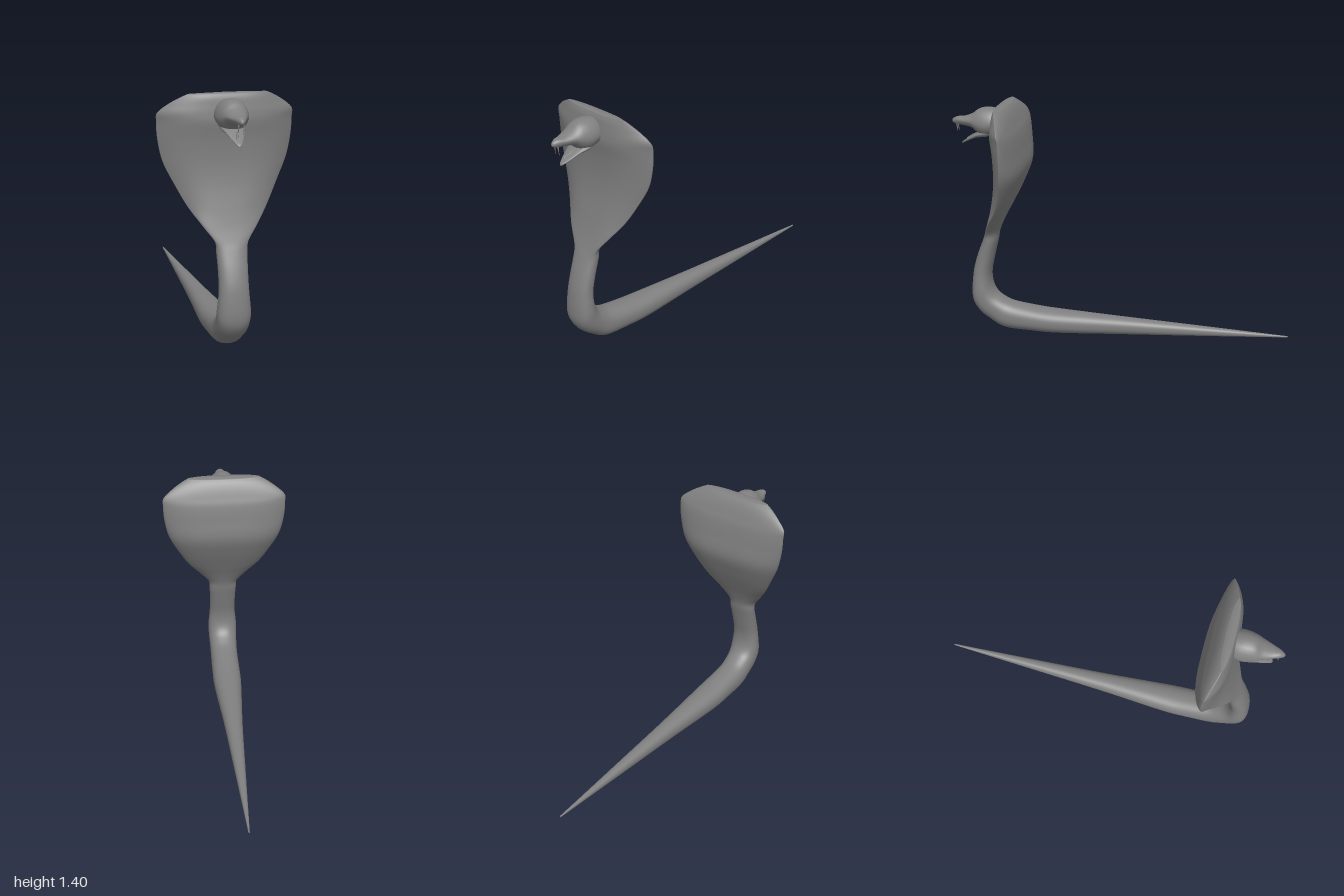
import * as THREE from 'three';

const material = new THREE.MeshStandardMaterial({ color: 0x808080 });

// Each station: [belly z, belly y, back z, back y, side edge position (0 belly .. 1 back), half width]
const TAIL = [
  [-1.0, 0.066, -1.0, 0.074, 0.5, 0.004],
  [-0.5, 0.042, -0.5, 0.1, 0.5, 0.03],
  [0.0, 0.02, 0.0, 0.125, 0.5, 0.057],
  [0.38, 0.005, 0.4, 0.146, 0.5, 0.085],
  [0.55, 0.009, 0.54, 0.16, 0.5, 0.088],
  [0.71, 0.02, 0.66, 0.18, 0.5, 0.087],
  [0.8, 0.068, 0.72, 0.205, 0.5, 0.087],
  [0.87, 0.125, 0.765, 0.24, 0.5, 0.09],
  [0.91, 0.21, 0.79, 0.295, 0.5, 0.092],
];
const NECK = [
  [0.902, 0.36, 0.793, 0.37, 0.5, 0.082],
  [0.875, 0.47, 0.772, 0.47, 0.5, 0.081],
  [0.837, 0.57, 0.748, 0.57, 0.45, 0.085],
];
const HOOD = [
  [0.814, 0.625, 0.735, 0.635, 0.2, 0.093],
  [0.788, 0.7, 0.705, 0.71, 0.25, 0.148],
  [0.762, 0.8, 0.66, 0.8, 0.5, 0.218],
  [0.737, 0.92, 0.602, 0.92, 0.52, 0.283],
  [0.725, 1.04, 0.56, 1.04, 0.52, 0.34],
  [0.728, 1.16, 0.572, 1.16, 0.62, 0.366],
  [0.74, 1.25, 0.588, 1.25, 0.72, 0.371],
  [0.738, 1.3, 0.606, 1.3, 0.75, 0.368],
  [0.732, 1.345, 0.625, 1.345, 0.7, 0.318],
  [0.726, 1.38, 0.645, 1.38, 0.6, 0.262],
  [0.716, 1.405, 0.665, 1.402, 0.5, 0.215],
];
const SKULL = [
  [0.66, 1.2, 0.66, 1.36, 0.5, 0.06],
  [0.74, 1.225, 0.73, 1.38, 0.45, 0.086],
  [0.79, 1.214, 0.785, 1.386, 0.45, 0.088],
  [0.835, 1.23, 0.835, 1.376, 0.45, 0.077],
  [0.875, 1.262, 0.875, 1.347, 0.5, 0.061],
  [0.92, 1.272, 0.925, 1.328, 0.6, 0.043],
  [0.965, 1.277, 0.968, 1.324, 0.6, 0.026],
  [0.992, 1.285, 0.993, 1.312, 0.5, 0.012],
  [1.0, 1.293, 1.0, 1.302, 0.5, 0.003],
];
const JAW = [
  [0.74, 1.225, 0.75, 1.29, 0.5, 0.05],
  [0.79, 1.213, 0.8, 1.265, 0.5, 0.068],
  [0.85, 1.204, 0.852, 1.234, 0.6, 0.052],
  [0.9, 1.184, 0.905, 1.2, 0.6, 0.032],
  [0.935, 1.167, 0.938, 1.178, 0.6, 0.015],
  [0.947, 1.162, 0.947, 1.167, 0.5, 0.003],
];

// Smooth skin through the stations; wide sections become a blunt-edged blade with a raised belly ridge.
// roundness below 1 makes narrow sections boxy, above 1 makes them peaked.
function loft(name, stations, roundness, sides, steps = 5) {
  const curve = (f) => new THREE.CatmullRomCurve3(stations.map(f), false, 'catmullrom', 0.5);
  const belly = curve((s) => new THREE.Vector3(0, s[1], s[0]));
  const back = curve((s) => new THREE.Vector3(0, s[3], s[2]));
  const shape = curve((s) => new THREE.Vector3(s[4], s[5], 0));
  const rings = (stations.length - 1) * steps;
  const pos = [], index = [];
  for (let i = 0; i <= rings; i++) {
    const u = i / rings;
    const b = belly.getPoint(u), k = back.getPoint(u), s = shape.getPoint(u);
    const edge = b.clone().lerp(k, s.x);
    const wide = THREE.MathUtils.smoothstep(s.y, 0.095, 0.28);
    const bellyPower = THREE.MathUtils.lerp(roundness, 1.9, wide);
    const backPower = THREE.MathUtils.lerp(roundness, 1.25, wide);
    const sidePower = THREE.MathUtils.lerp(0.9, 0.65, wide);
    for (let j = 0; j < sides; j++) {
      const t = (j / sides) * Math.PI * 2, c = Math.cos(t), n = Math.sin(t);
      const p = edge.clone().lerp(n > 0 ? b : k, Math.abs(n) ** (n > 0 ? bellyPower : backPower));
      pos.push(Math.sign(c) * Math.abs(c) ** sidePower * s.y, p.y, p.z);
    }
  }
  for (let i = 0; i < rings; i++) {
    for (let j = 0; j < sides; j++) {
      const a = i * sides + j, d = i * sides + ((j + 1) % sides);
      index.push(a, a + sides, d, d, a + sides, d + sides);
    }
  }
  // End caps
  for (const [u, ring] of [[0, 0], [1, rings]]) {
    const mid = belly.getPoint(u).lerp(back.getPoint(u), 0.5);
    const centre = pos.length / 3;
    pos.push(0, mid.y + u * 0.005, mid.z);
    for (let j = 0; j < sides; j++) {
      const a = ring * sides + j, d = ring * sides + ((j + 1) % sides);
      if (u) index.push(centre, d, a);
      else index.push(centre, a, d);
    }
  }
  const geometry = new THREE.BufferGeometry();
  geometry.setAttribute('position', new THREE.Float32BufferAttribute(pos, 3));
  geometry.setIndex(index);
  geometry.computeVertexNormals();
  const mesh = new THREE.Mesh(geometry, material);
  mesh.name = name;
  return mesh;
}

export function createModel() {
  const model = new THREE.Group();
  model.name = 'hoodedSnake';
  model.add(loft('bodyAndHood', [...TAIL, ...NECK, ...HOOD], 0.86, 40));

  const head = new THREE.Group();
  head.name = 'head';
  head.add(loft('skull', SKULL, 1.15, 28), loft('lowerJaw', JAW, 1, 24));

  // Fangs under the snout
  for (const side of [-1, 1]) {
    const fang = new THREE.Mesh(new THREE.ConeGeometry(0.005, 0.055, 8), material);
    fang.name = side > 0 ? 'leftFang' : 'rightFang';
    fang.position.set(side * 0.014, 1.256, 0.967);
    fang.rotation.x = Math.PI + 0.12;
    head.add(fang);
  }

  // Thin tongue resting on the lower jaw
  const path = new THREE.CatmullRomCurve3([
    new THREE.Vector3(0, 1.24, 0.82),
    new THREE.Vector3(0.004, 1.22, 0.875),
    new THREE.Vector3(-0.006, 1.194, 0.915),
  ]);
  const tongue = new THREE.Mesh(new THREE.TubeGeometry(path, 10, 0.004, 8), material);
  tongue.name = 'tongue';
  head.add(tongue);

  model.add(head);
  return model;
}
